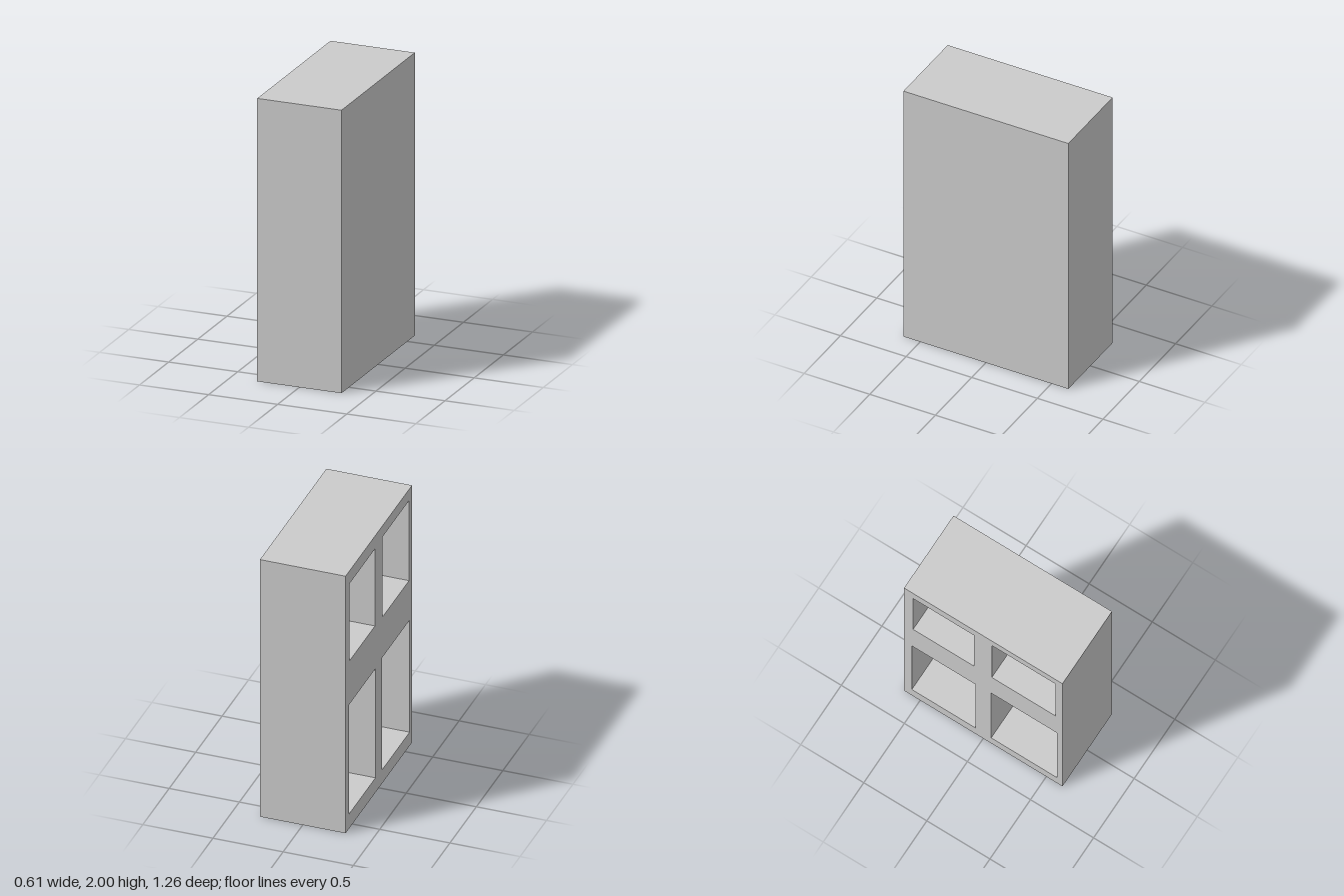
import * as THREE from 'three';

const W = 0.61, H = 2, D = 1.256; // overall size
const DEPTH = 0.384;              // compartment depth
const FACE = { nx: 1, ny: 3 };    // side order in BoxGeometry: +x -x +y -y +z -z

// Compartments opening on the -x side: z range, y range
const COMPARTMENTS = [
  { name: 'upperBackCompartment', z: [-0.556, -0.072], y: [1.3, 1.9] },
  { name: 'upperFrontCompartment', z: [0.068, 0.572], y: [1.29, 1.913] },
  { name: 'lowerBackCompartment', z: [-0.566, -0.062], y: [0.113, 0.963] },
  { name: 'lowerFrontCompartment', z: [0.063, 0.583], y: [0.105, 0.977] },
];

const material = new THREE.MeshStandardMaterial({ color: 0xcccccc, side: THREE.DoubleSide });

// Thin-walled box with the listed sides left out
function openBox(w, h, d, skip) {
  const geometry = new THREE.BoxGeometry(w, h, d);
  const index = Array.from(geometry.index.array);
  geometry.setIndex(index.filter((_, i) => !skip.includes(Math.floor(i / 6))));
  geometry.clearGroups();
  return geometry;
}

function addPart(group, name, geometry, x, y, z) {
  const mesh = new THREE.Mesh(geometry, material);
  mesh.name = name;
  mesh.position.set(x, y, z);
  group.add(mesh);
}

function rectangle(path, [x0, x1], [y0, y1]) {
  path.moveTo(x0, y0).lineTo(x1, y0).lineTo(x1, y1).lineTo(x0, y1).closePath();
  return path;
}

export function createModel() {
  const group = new THREE.Group();
  group.name = 'cabinet';

  // Outer walls and top, open underneath
  addPart(group, 'outerShell', openBox(W, H, D, [FACE.nx, FACE.ny]), 0, H / 2, 0);

  // Face panel with four openings, drawn in z and y, then turned to face -x
  const panel = rectangle(new THREE.Shape(), [-D / 2, D / 2], [0, H]);
  for (const c of COMPARTMENTS) panel.holes.push(rectangle(new THREE.Path(), c.z, c.y));
  addPart(group, 'facePanel', new THREE.ShapeGeometry(panel).rotateY(-Math.PI / 2), -W / 2, 0, 0);

  // Recessed compartments behind the openings
  for (const { name, z, y } of COMPARTMENTS) {
    const geometry = openBox(DEPTH, y[1] - y[0], z[1] - z[0], [FACE.nx]);
    addPart(group, name, geometry, -W / 2 + DEPTH / 2, (y[0] + y[1]) / 2, (z[0] + z[1]) / 2);
  }
  return group;
}
